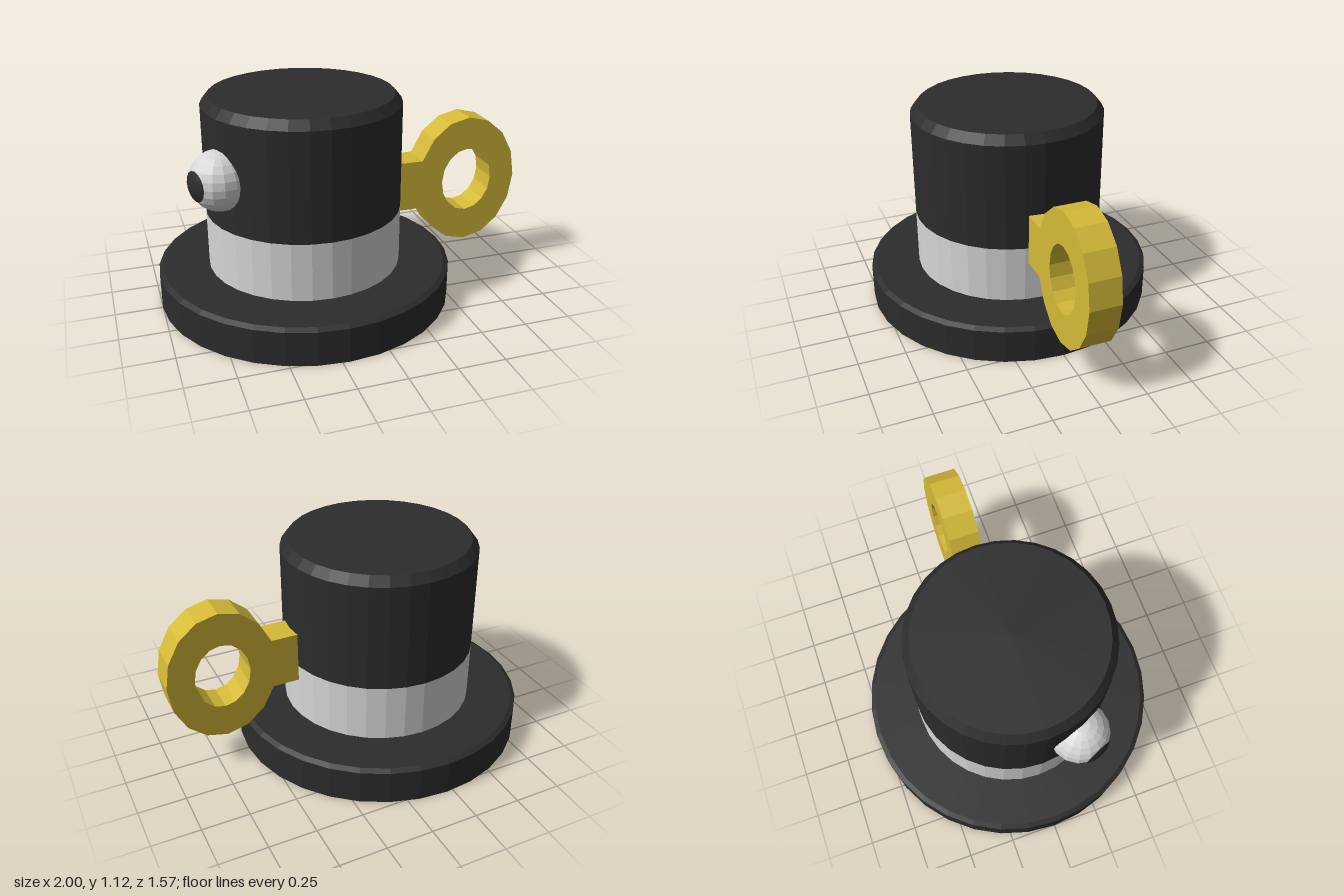
import * as THREE from 'three';

export function createModel() {
  const model = new THREE.Group();
  const flat = (name, color) => {
    const m = new THREE.MeshStandardMaterial({ color, flatShading: true });
    m.name = name;
    return m;
  };
  const black = flat('black', 0x2c2c2c);
  const silver = flat('silver', 0xd6d6d6);
  const gold = flat('gold', 0xd4ba38);

  const add = (parent, name, geometry, material) => {
    const mesh = new THREE.Mesh(geometry, material);
    mesh.name = name;
    parent.add(mesh);
    return mesh;
  };
  const lathe = (points) =>
    new THREE.LatheGeometry(points.map(([r, y]) => new THREE.Vector2(r, y)), 32);

  // Round body: brim, band and crown share one axis
  const body = new THREE.Group();
  body.name = 'body';
  body.position.x = -0.215;
  model.add(body);
  add(body, 'brim', lathe([[0, 0], [0.787, 0], [0.787, 0.182], [0.762, 0.197], [0, 0.197]]), black);
  add(body, 'band', lathe([[0.518, 0.19], [0.518, 0.505]]), silver);
  add(body, 'crown', lathe([[0.518, 0.505], [0.518, 1.075], [0.48, 1.122], [0, 1.122]]), black);

  // Oval ring handle with a stem running into the crown
  const cx = 0.705, cy = 0.555, sides = 16;
  const oval = (rx, ry, k) => {
    const a = (k / sides) * Math.PI * 2;
    return new THREE.Vector2(cx + rx * Math.cos(a), cy + ry * Math.sin(a));
  };
  const outline = [];
  for (let k = -7; k <= 7; k++) outline.push(oval(0.29, 0.36, k));
  outline.push(new THREE.Vector2(0.25, outline[14].y), new THREE.Vector2(0.25, outline[0].y));
  const hole = [];
  for (let k = 0; k < sides; k++) hole.push(oval(0.147, 0.181, -k));
  const shape = new THREE.Shape(outline);
  shape.holes.push(new THREE.Path(hole));
  const ring = new THREE.ExtrudeGeometry(shape, { depth: 0.166, bevelEnabled: false });
  ring.translate(0, 0, -0.083);
  add(model, 'ringHandle', ring, gold);

  // Eye set in the crown wall, looking straight outward
  const eye = new THREE.Group();
  eye.name = 'eye';
  eye.position.set(-0.69, 0.767, 0.195);
  eye.rotation.y = Math.atan2(-0.475, 0.195);
  model.add(eye);
  add(eye, 'eyeball', new THREE.SphereGeometry(0.155, 16, 12), silver);
  const pupil = new THREE.SphereGeometry(0.158, 16, 4, 0, Math.PI * 2, 0, 0.52);
  pupil.rotateX(Math.PI / 2);
  add(eye, 'pupil', pupil, black);

  return model;
}
